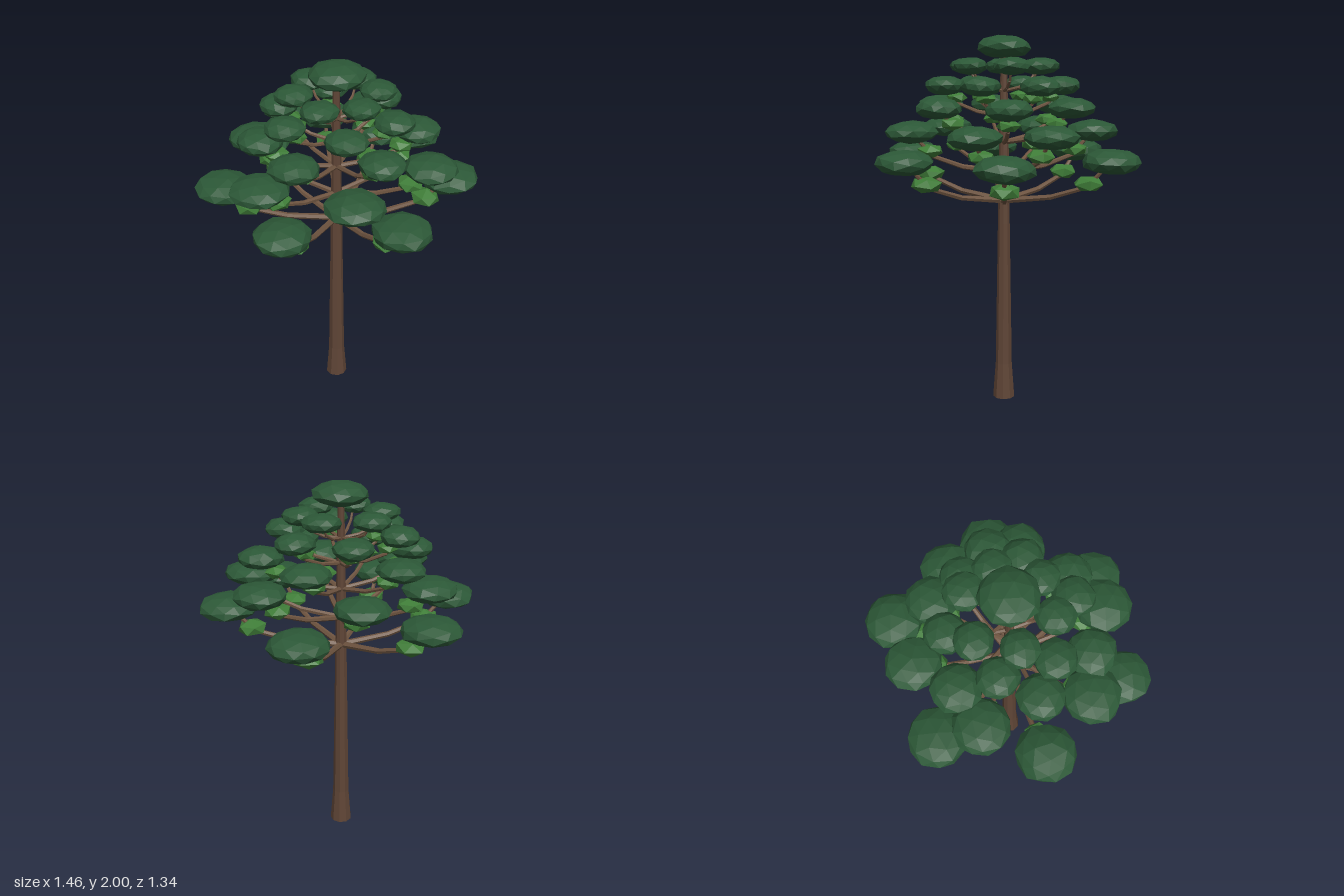
import * as THREE from 'three';

const mat = (name, color) => {
  const m = new THREE.MeshStandardMaterial({ color, flatShading: true });
  m.name = name;
  return m;
};

// Small repeatable random numbers
let seed = 7;
const rand = () => {
  seed = (seed * 16807) % 2147483647;
  return seed / 2147483647;
};

// Faceted clump: a sphere with each corner pushed in or out, then squashed
function clumpGeometry(r, h, detail, jitter) {
  const g = new THREE.IcosahedronGeometry(1, detail);
  g.rotateX(rand() * 3);
  g.rotateY(rand() * 6);
  const p = g.attributes.position, pushes = {}, v = new THREE.Vector3();
  for (let i = 0; i < p.count; i++) {
    v.fromBufferAttribute(p, i);
    const key = v.toArray().map(n => Math.round(n * 100) + 0).join();
    pushes[key] ??= 1.04 - jitter * rand();
    v.multiplyScalar(pushes[key]);
    p.setXYZ(i, v.x * r, v.y * h, v.z * r);
  }
  g.computeVertexNormals();
  return g;
}

// Tapered limb between two points
function limb(a, b, ra, rb, material) {
  const d = b.clone().sub(a);
  const m = new THREE.Mesh(new THREE.CylinderGeometry(rb, ra, d.length(), 6), material);
  m.position.copy(a).addScaledVector(d, 0.5);
  m.quaternion.setFromUnitVectors(new THREE.Vector3(0, 1, 0), d.normalize());
  m.name = 'branchSegment';
  return m;
}

// Each tier: pad height, pad half thickness, branch drop, inner clump drop and size,
// branch thickness, and its pads as [x, z, radius]
const TIERS = [
  { y: 1.365, h: 0.067, drop: 0.24, under: 0.12, ur: 0.085, uh: 0.046, br: 0.018, pads: [
    [-0.36, -0.46, 0.155], [0.29, -0.52, 0.155], [0.575, 0.05, 0.155],
    [0.24, 0.52, 0.15], [-0.32, 0.49, 0.145], [-0.585, 0.015, 0.15]] },
  { y: 1.5, h: 0.06, drop: 0.22, under: 0.1, ur: 0.078, uh: 0.04, br: 0.016, pads: [
    [0.02, 0.49, 0.145], [-0.015, -0.48, 0.14], [-0.41, -0.25, 0.145],
    [-0.41, 0.29, 0.145], [0.44, 0.18, 0.14], [0.43, -0.19, 0.14]] },
  { y: 1.63, h: 0.056, drop: 0.19, under: 0.08, ur: 0.067, uh: 0.036, br: 0.014, pads: [
    [-0.24, -0.32, 0.125], [0.22, -0.32, 0.125], [0.4, 0.01, 0.12],
    [0.17, 0.345, 0.12], [-0.245, 0.33, 0.125], [-0.39, 0.04, 0.12]] },
  { y: 1.74, h: 0.052, drop: 0.16, under: 0.06, ur: 0.058, uh: 0.032, br: 0.012, pads: [
    [0, 0.31, 0.107], [-0.01, -0.305, 0.107], [-0.28, -0.13, 0.105],
    [-0.27, 0.14, 0.105], [0.26, 0.14, 0.105], [0.25, -0.16, 0.105]] },
  { y: 1.84, h: 0.046, drop: 0.13, br: 0.01, pads: [
    [-0.12, -0.195, 0.097], [0.12, -0.175, 0.1], [0.2, -0.02, 0.095],
    [0.09, 0.18, 0.092], [-0.11, 0.185, 0.098], [-0.215, -0.01, 0.097]] },
];

export function createModel() {
  const tree = new THREE.Group();
  tree.name = 'tree';
  const bark = mat('bark brown', 0x5f4536);
  const branchBark = mat('branch brown', 0x6e5440);
  const needles = mat('dark needle green', 0x2c5837);
  const young = mat('young needle green', 0x3f7d38);

  const add = (name, geo, material, x, y, z, parent = tree) => {
    const m = new THREE.Mesh(geo, material);
    m.name = name;
    m.position.set(x, y, z);
    parent.add(m);
  };

  // Trunk with a flared foot
  const cx = -0.008;
  const profile = [[0, 0], [0.061, 0], [0.046, 0.2], [0.033, 1], [0.027, 1.4], [0.017, 1.9], [0, 1.9]];
  add('trunk', new THREE.LatheGeometry(profile.map(p => new THREE.Vector2(...p)), 9), bark, cx, 0, 0);

  TIERS.forEach((t, i) => {
    const tier = new THREE.Group();
    tier.name = `tier${i + 1}`;
    tree.add(tier);
    for (const [x, z, r] of t.pads) {
      // Branch: runs out nearly level, then bends up into its pad
      const branch = new THREE.Group();
      branch.name = 'branch';
      tier.add(branch);
      const pts = [[0, 0], [0.45, 0.15], [0.78, 0.42], [1, 1]].map(([f, u]) =>
        new THREE.Vector3(cx + (x - cx) * f, t.y - t.drop * (1 - u), z * f));
      for (let k = 0; k < 3; k++) {
        branch.add(limb(pts[k], pts[k + 1], t.br * (1 - 0.15 * k), t.br * (0.85 - 0.15 * k), branchBark));
      }
      // Foliage pad and the smaller clump hanging inside it
      add('foliagePad', clumpGeometry(r, t.h, 1, 0.1), needles, x, t.y, z, tier);
      if (t.under) {
        add('innerClump', clumpGeometry(t.ur, t.uh, 0, 0.12), young,
          x * 0.8, t.y - t.under, z * 0.8, tier);
      }
    }
  });

  // Crown on the tip of the trunk
  add('crown', clumpGeometry(0.145, 0.061, 1, 0.08), needles, -0.005, 1.938, 0);
  return tree;
}
